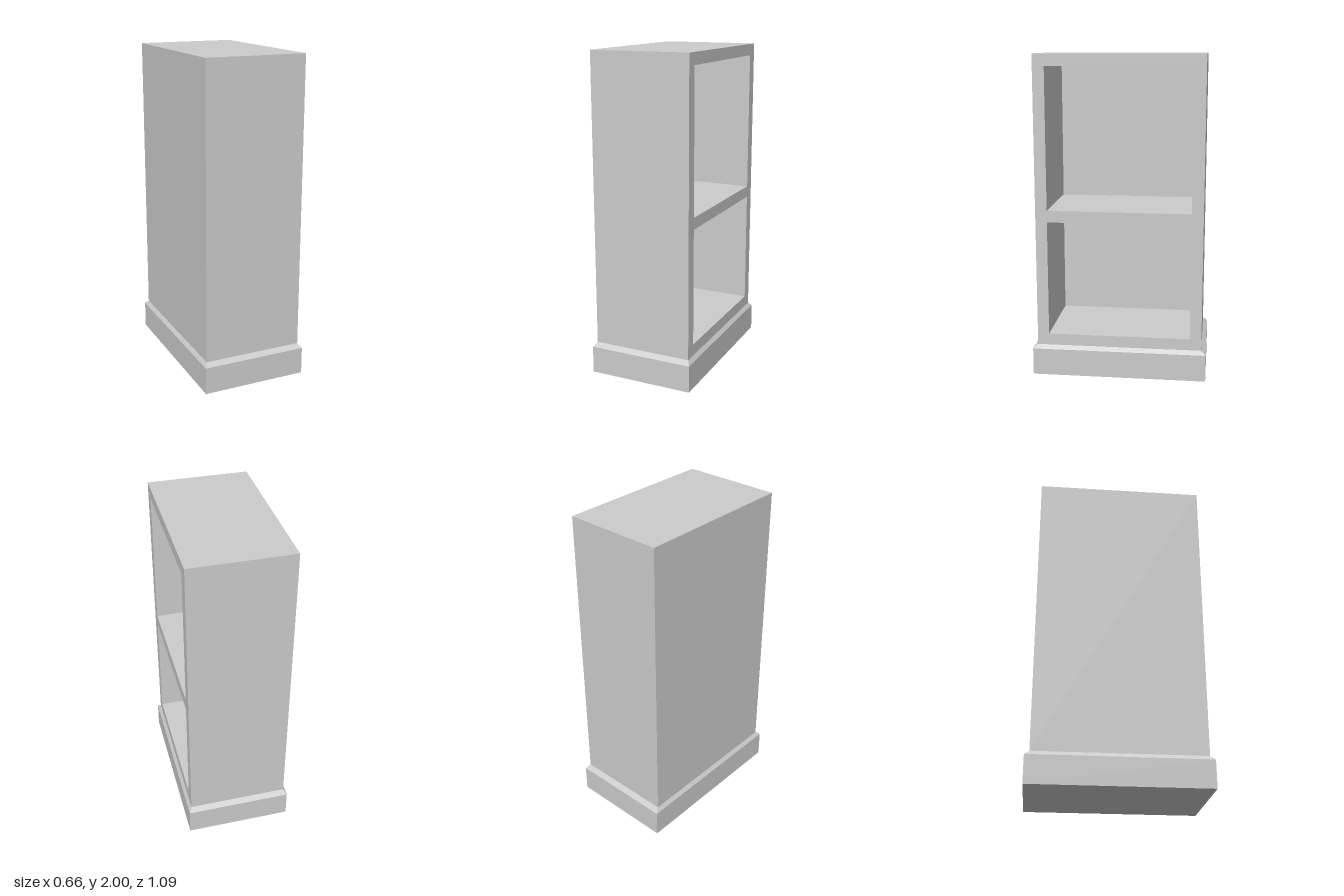
import * as THREE from 'three';

const W = 0.312, D = 0.514;      // half width and half depth of the case
const BW = 0.33, BD = 0.543;     // half width and half depth of the plinth
const Y0 = 0.17, Y1 = 0.195, TOP = 2;
const T = 0.072;                 // board thickness
const SHELF = 0.985;             // underside of the middle shelf

const material = new THREE.MeshStandardMaterial({ color: 0xcccccc, flatShading: true });

function add(group, name, geometry, x = 0, y = 0, z = 0) {
  const mesh = new THREE.Mesh(geometry, material);
  mesh.name = name;
  mesh.position.set(x, y, z);
  group.add(mesh);
}

// Rectangle outline, used for both the frame and its openings
function rect(path, halfWidth, bottom, top) {
  path.moveTo(-halfWidth, bottom);
  path.lineTo(halfWidth, bottom);
  path.lineTo(halfWidth, top);
  path.lineTo(-halfWidth, top);
  path.closePath();
  return path;
}

export function createModel() {
  const model = new THREE.Group();
  model.name = 'bookcase';

  // Plinth with a sloped upper edge
  add(model, 'plinth', new THREE.BoxGeometry(2 * BW, Y0, 2 * BD), 0, Y0 / 2, 0);
  const slope = new THREE.BoxGeometry(2 * BW, Y1 - Y0, 2 * BD);
  const p = slope.attributes.position;
  for (let i = 0; i < p.count; i++) {
    if (p.getY(i) > 0) {
      p.setX(i, Math.sign(p.getX(i)) * W);
      p.setZ(i, Math.sign(p.getZ(i)) * D);
    }
  }
  slope.computeVertexNormals();
  add(model, 'plinthBevel', slope, 0, (Y0 + Y1) / 2, 0);

  // Case walls, top, bottom and shelf, with two compartments open towards +x
  const frame = rect(new THREE.Shape(), D, Y1, TOP);
  frame.holes.push(
    rect(new THREE.Path(), D - T, Y1 + T, SHELF),
    rect(new THREE.Path(), D - T, SHELF + T, TOP - T)
  );
  const caseGeometry = new THREE.ExtrudeGeometry(frame, { depth: 2 * W - T, bevelEnabled: false });
  caseGeometry.rotateY(Math.PI / 2);
  add(model, 'caseAndShelf', caseGeometry, -W + T, 0, 0);

  // Closed back of the compartments
  add(model, 'backPanel', new THREE.BoxGeometry(T, TOP - Y1, 2 * D), -W + T / 2, (TOP + Y1) / 2, 0);

  return model;
}
